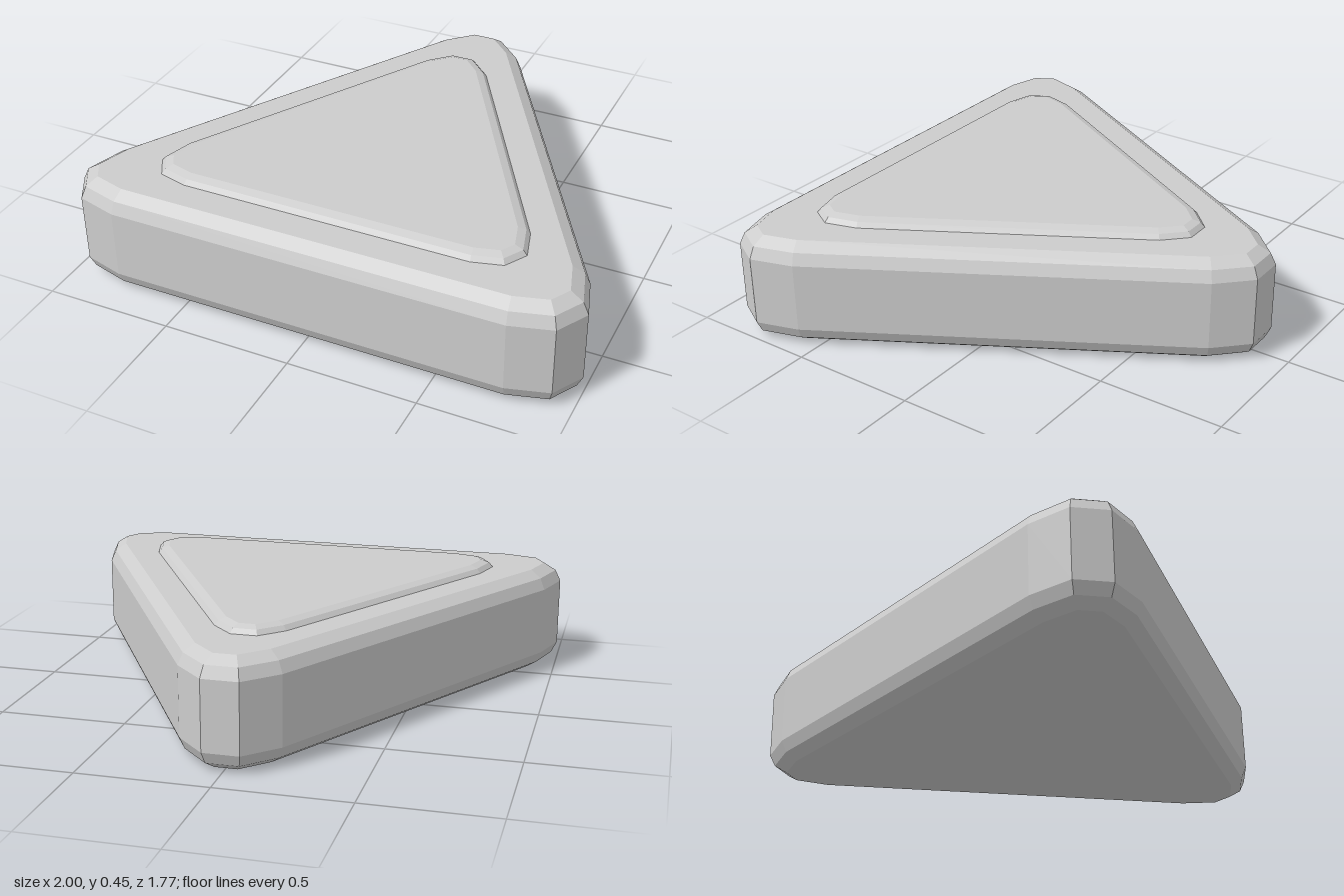
import * as THREE from 'three';

// Mirror the right half of a plan outline [x, z], running back to front, into a full loop
function mirrored(half) {
  return [...half, ...half.map(([x, z]) => [-x, z]).reverse()];
}

// Move a loop inwards by an even distance with mitred corners
function inset(loop, dist) {
  const normal = (a, b) => new THREE.Vector2(a[1] - b[1], b[0] - a[0]).normalize();
  const n = loop.length;
  return loop.map((p, i) => {
    const n1 = normal(loop[(i + n - 1) % n], p);
    const n2 = normal(p, loop[(i + 1) % n]);
    const k = dist / (1 + n1.dot(n2));
    return [p[0] + (n1.x + n2.x) * k, p[1] + (n1.y + n2.y) * k];
  });
}

// Faceted solid from one outline and a list of [inset, height] levels
function bevelledSlab(outline, levels) {
  const n = outline.length;
  const positions = [];
  const index = [];
  for (const [d, y] of levels) {
    for (const [x, z] of inset(outline, d)) positions.push(x, y, z);
  }
  const bottom = positions.length / 3;
  const top = bottom + 1;
  positions.push(0, levels[0][1], 0.2, 0, levels[levels.length - 1][1], 0.2);
  const last = (levels.length - 1) * n;
  for (let i = 0; i < n; i++) {
    const j = (i + 1) % n;
    for (let r = 0; r < last; r += n) {
      index.push(r + i, r + n + i, r + n + j, r + i, r + n + j, r + j);
    }
    index.push(bottom, i, j, top, last + j, last + i);
  }
  const indexed = new THREE.BufferGeometry();
  indexed.setAttribute('position', new THREE.Float32BufferAttribute(positions, 3));
  indexed.setIndex(index);
  const geometry = indexed.toNonIndexed();
  geometry.computeVertexNormals();
  return geometry;
}

export function createModel() {
  const group = new THREE.Group();
  group.name = 'triangularBlock';
  const grey = new THREE.MeshStandardMaterial({ color: 0xcccccc });
  grey.name = 'light grey';

  const add = (name, half, levels) => {
    const mesh = new THREE.Mesh(bevelledSlab(mirrored(half), levels), grey);
    mesh.name = name;
    group.add(mesh);
  };

  // Thick triangular body with clipped corners and rounded rims
  add('body',
    [[0.07, -0.886], [0.19, -0.766], [0.95, 0.555], [1, 0.72], [0.93, 0.842], [0.77, 0.886]],
    [[0.065, 0], [0.02, 0.03], [0, 0.075], [0, 0.345], [0.02, 0.39], [0.065, 0.42]]);

  // Thin raised panel, sunk slightly into the body
  add('topPanel',
    [[0.05, -0.595], [0.135, -0.51], [0.695, 0.465], [0.73, 0.59], [0.68, 0.675], [0.565, 0.705]],
    [[0, 0.4], [0, 0.42], [0.015, 0.438], [0.045, 0.449]]);

  return group;
}
